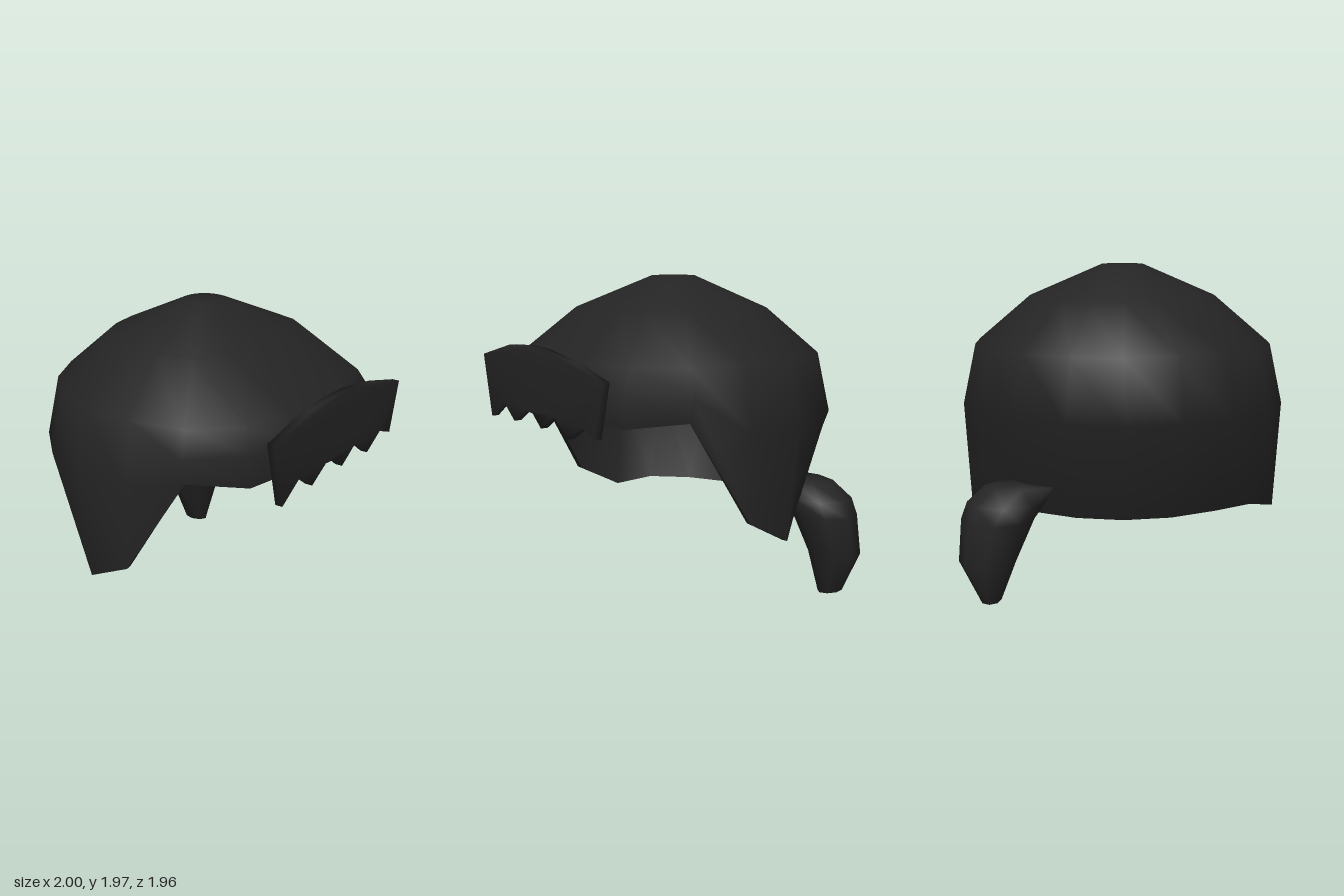
import * as THREE from 'three';
import { mergeVertices } from 'three/addons/utils/BufferGeometryUtils.js';

// Smooth skin through closed rows of points, listed from top to bottom.
function loft(rows) {
  const n = rows[0].length, index = [];
  for (let r = 0; r < rows.length - 1; r++) {
    for (let c = 0; c < n; c++) {
      const a = r * n + c, b = r * n + (c + 1) % n;
      index.push(a, b, a + n, b, b + n, a + n);
    }
  }
  const g = new THREE.BufferGeometry();
  g.setAttribute('position', new THREE.Float32BufferAttribute(rows.flat(2), 3));
  g.setIndex(index);
  g.computeVertexNormals();
  return g;
}

export function createModel() {
  const group = new THREE.Group();
  const hair = new THREE.MeshStandardMaterial({ color: 0x242424, side: THREE.DoubleSide });
  hair.name = 'black hair';
  const add = (name, geometry, parent = group) => {
    const mesh = new THREE.Mesh(geometry, hair);
    mesh.name = name;
    parent.add(mesh);
  };

  // Half outline from back to front: widest point x, y, z, then rim point x, y, z
  const half = [
    [0, 1.12, -0.98, 0, 0.51, -0.71],
    [0.33, 1.12, -0.92, 0.28, 0.51, -0.66],
    [0.63, 1.12, -0.76, 0.55, 0.51, -0.52],
    [0.87, 1.12, -0.5, 0.79, 0.5, -0.33],
    [0.99, 1.12, -0.2, 0.96, 0.44, -0.14],
    [1, 1.12, 0.17, 0.985, 0.59, 0.16],
    [0.93, 1.34, 0.52, 0.9, 1.19, 0.52],
    [0.69, 1.36, 0.81, 0.66, 1.15, 0.79],
    [0.33, 1.36, 0.905, 0.32, 1.17, 0.89],
    [0, 1.36, 0.935, 0, 1.2, 0.92],
  ];
  const mirrored = half.slice(1, -1).reverse().map(([x, y, z, u, v, w]) => [-x, y, z, -u, v, w]);
  const columns = [...half, ...mirrored];

  // Cap of hair: outer skin, inner skin and the rim between them
  const outer = [[0, 1.97], [0.13, 1.97], [0.59, 1.77], [0.92, 1.49]]
    .map(([s, y]) => columns.map(([x, , z]) => [x * s, y, z * s]));
  outer.push(columns.map((c) => c.slice(0, 3)));
  outer.push(columns.map((c) => c.slice(3)));
  const inner = outer.map((row, r) =>
    row.map(([x, y, z]) => [x * 0.96, r < 5 ? y - 0.04 : y, z * 0.96]));
  const cap = new THREE.Group();
  cap.name = 'hairCap';
  group.add(cap);
  add('outerHair', loft(outer), cap);
  add('hairRim', loft([outer[5], inner[5]]), cap);
  add('innerHair', loft([...inner].reverse()), cap);

  // Fringe: a thin plate with a zigzag lower edge
  const fringe = new THREE.Shape([
    [-0.73, 1.47], [-0.63, 1.08], [-0.45, 1.19], [-0.31, 1.09], [-0.16, 1.175], [-0.06, 1.165],
    [0.04, 1.09], [0.2, 1.185], [0.36, 1.07], [0.52, 1.16], [0.66, 1.11], [0.75, 1.43],
    [0.42, 1.51], [0.08, 1.56], [-0.13, 1.565], [-0.35, 1.555],
  ].map(([x, y]) => new THREE.Vector2(x, y)));
  let plate = new THREE.ExtrudeGeometry(fringe, { depth: 0.045, bevelEnabled: false });
  plate.translate(0, 0, 0.935);
  plate.deleteAttribute('normal');
  plate.deleteAttribute('uv');
  plate = mergeVertices(plate);
  plate.computeVertexNormals();
  add('fringe', plate);

  // Tied lock hanging behind the left side: y, x range, z range of each section
  const sections = [
    [0.7, 0.6, 0.6, -0.6, -0.6],
    [0.7, 0.36, 0.82, -0.73, -0.48],
    [0.6, 0.46, 0.93, -0.81, -0.42],
    [0.5, 0.53, 0.965, -0.82, -0.44],
    [0.25, 0.64, 0.98, -0.82, -0.51],
    [0, 0.735, 0.86, -0.735, -0.56],
    [0, 0.8, 0.8, -0.65, -0.65],
  ];
  add('tiedLock', loft(sections.map(([y, x0, x1, z0, z1]) =>
    Array.from({ length: 8 }, (_, i) => {
      const a = (i / 8) * Math.PI * 2;
      return [(x0 + x1) / 2 + Math.sin(a) * (x1 - x0) / 2, y, (z0 + z1) / 2 - Math.cos(a) * (z1 - z0) / 2];
    }))));

  return group;
}
